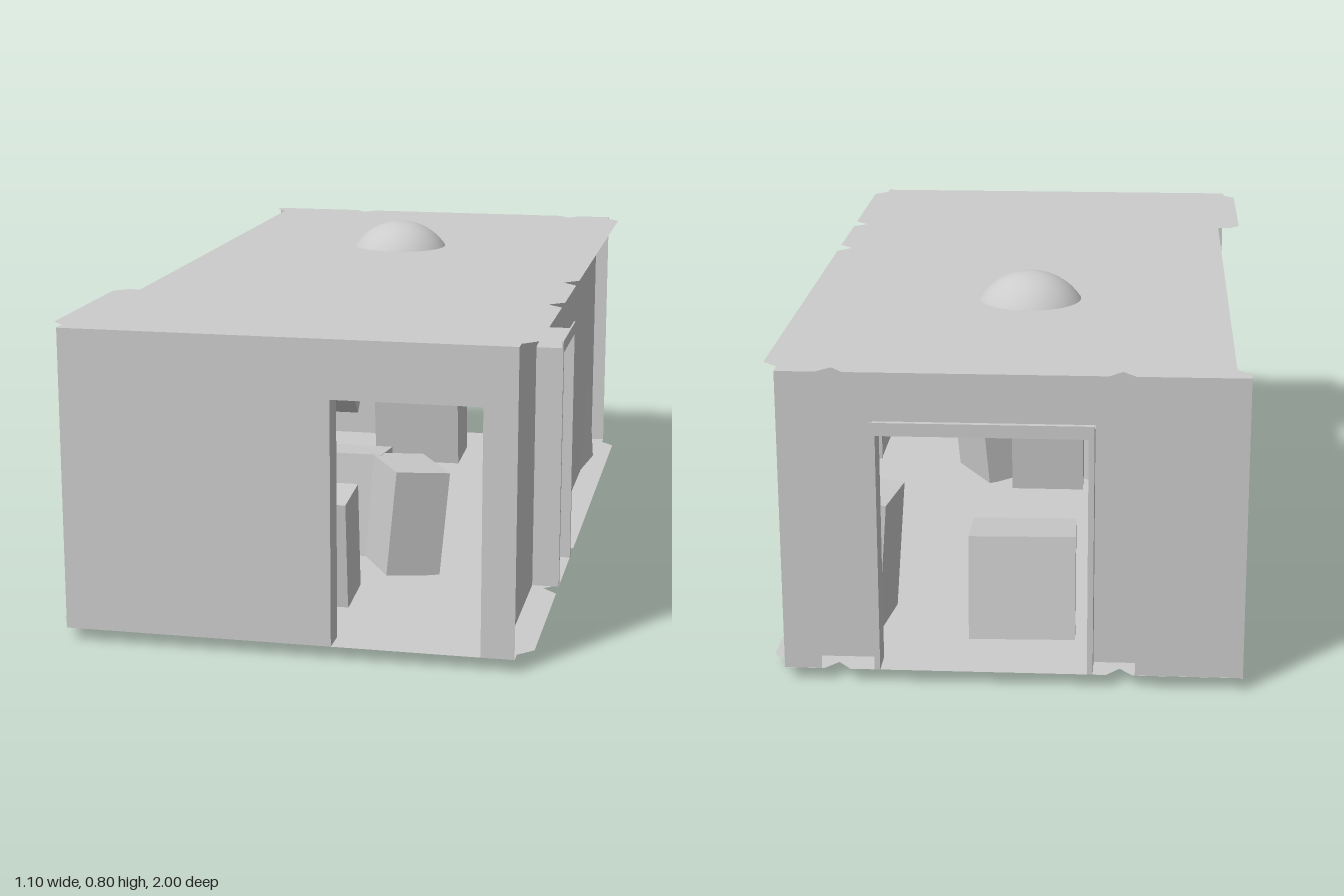
import * as THREE from 'three';

const FLOOR = 0.032, ROOF = 0.735;

export function createModel() {
  const model = new THREE.Group();
  const thin = new THREE.MeshStandardMaterial({ color: 0xcccccc, side: THREE.DoubleSide });
  const solid = new THREE.MeshStandardMaterial({ color: 0xcccccc });

  function add(name, geometry, material = solid) {
    const mesh = new THREE.Mesh(geometry, material);
    mesh.name = name;
    model.add(mesh);
    return mesh;
  }

  function box(name, x0, x1, y0, y1, z0, z1) {
    add(name, new THREE.BoxGeometry(x1 - x0, y1 - y0, z1 - z0))
      .position.set((x0 + x1) / 2, (y0 + y1) / 2, (z0 + z1) / 2);
  }

  // Tilted crate given by its centre, size and rotation
  function crate(name, centre, size, rotation) {
    const mesh = add(name, new THREE.BoxGeometry(...size));
    mesh.position.set(...centre);
    mesh.rotation.set(...rotation, 'YXZ');
  }

  // Thin wall from u0 to u1, with an optional doorway [d0, d1, top] down to the floor
  function wall(name, u0, u1, door, axis, offset) {
    const p = [[u0, FLOOR]];
    if (door) p.push([door[0], FLOOR], [door[0], door[2]], [door[1], door[2]], [door[1], FLOOR]);
    p.push([u1, FLOOR], [u1, ROOF], [u0, ROOF]);
    const geometry = new THREE.ShapeGeometry(new THREE.Shape(p.map(([u, y]) => new THREE.Vector2(u, y))));
    if (axis === 'x') geometry.rotateY(-Math.PI / 2).translate(offset, 0, 0);
    else geometry.translate(0, 0, offset);
    add(name, geometry, thin);
  }

  // Floor and roof sheets share a notched outline (x, z)
  const outline = [
    [-0.523, -1], [-0.275, -1], [-0.245, -0.965], [-0.215, -1],
    [0.365, -1], [0.395, -0.965], [0.425, -1], [0.515, -1], [0.515, -0.965], [0.55, -0.93],
    [0.55, 0.155], [0.515, 0.19], [0.55, 0.225], [0.55, 0.465], [0.515, 0.495], [0.55, 0.53],
    [0.55, 0.93], [0.515, 0.965], [0.515, 1], [-0.523, 1], [-0.523, 0.965], [-0.553, 0.935],
    [-0.553, 0.53], [-0.523, 0.5], [-0.493, 0.5], [-0.493, -0.935], [-0.523, -0.965],
  ].map(([x, z]) => new THREE.Vector2(x, z));
  for (const [name, y] of [['floor', FLOOR], ['roof', ROOF]]) {
    const sheet = new THREE.ShapeGeometry(new THREE.Shape(outline));
    add(name, sheet.rotateX(Math.PI / 2).translate(0, y, 0), thin);
  }

  // Front wall: outer and inner skin joined by the doorway lining
  const frontDoor = [0.1, 0.439, 0.6];
  wall('frontWall', -0.523, 0.515, frontDoor, 'z', 1);
  wall('frontInnerWall', -0.493, 0.485, frontDoor, 'z', 0.935);
  box('frontDoorLining', 0.097, 0.1, FLOOR, 0.6, 0.935, 0.999);
  box('frontDoorLining', 0.439, 0.442, FLOOR, 0.6, 0.935, 0.999);
  box('frontDoorLining', 0.097, 0.442, 0.6, 0.603, 0.935, 0.999);

  // Side walls
  wall('leftWall', -0.93, 0.935, [0.24, 0.465, 0.63], 'x', 0.485);
  wall('rightWall', -0.935, 0.935, [0.215, 0.445, 0.63], 'x', -0.493);

  // Side door frame
  for (const z of [0.226, 0.465]) box('sideDoorJamb', 0.483, 0.55, FLOOR, 0.627, z, z + 0.012);
  box('sideDoorLintel', 0.483, 0.55, 0.615, 0.627, 0.226, 0.477);
  box('sideDoorTrim', 0.546, 0.55, 0.627, 0.644, 0.226, 0.477);

  // Back wall: two outer corner panels and a recessed wall with a framed door
  wall('backCornerPanel', -0.523, -0.28, null, 'z', -0.999);
  wall('backCornerPanel', 0.43, 0.515, null, 'z', -0.999);
  wall('backWall', -0.493, 0.485, [-0.172, 0.297, 0.6], 'z', -0.932);
  for (const x of [-0.185, 0.297]) box('backDoorJamb', x, x + 0.013, FLOOR, 0.6, -1, -0.932);
  box('backDoorLintel', -0.185, 0.31, 0.59, 0.602, -1, -0.932);
  box('backDoorTrim', -0.185, 0.31, 0.602, 0.62, -1, -0.996);

  // Stepped ceiling border
  for (const [margin, y] of [[0.1, 0.705], [0.2, 0.72]]) {
    box('ceilingStep', -0.49, -0.49 + margin, y, ROOF - 0.002, -0.93, 0.93);
    box('ceilingStep', 0.483 - margin, 0.483, y, ROOF - 0.002, -0.93, 0.93);
    box('ceilingStep', -0.49, 0.483, y, ROOF - 0.002, -0.93, -0.93 + margin);
    box('ceilingStep', -0.49, 0.483, y, ROOF - 0.002, 0.93 - margin, 0.93);
  }

  // Sphere set through the roof
  add('roofDome', new THREE.SphereGeometry(0.151, 40, 24)).position.set(-0.005, 0.652, -0.33);

  // Ring of seats leaning outward, leaving one place free
  for (let i = 0; i < 5; i++) {
    const a = Math.PI * (2 / 3 + i / 3);
    crate('ringSeat', [-0.02 + 0.195 * Math.sin(a), 0.167, 0.48 + 0.195 * Math.cos(a)],
      [0.2, 0.262, 0.14], [0.1, a, 0]);
  }

  // Hanging block over the ring
  crate('hangingBlock', [-0.08, 0.58, 0.48], [0.26, 0.19, 0.19], [Math.PI / 4, 0, 0]);

  // Loose crates by the back door
  crate('cornerCrate', [0.393, 0.192, -0.7], [0.18, 0.33, 0.18], [0.02, -0.125, 0.07]);
  crate('backCrate', [-0.01, 0.139, -0.7], [0.25, 0.25, 0.2], [0.14, 0.03, 0]);

  return model;
}
